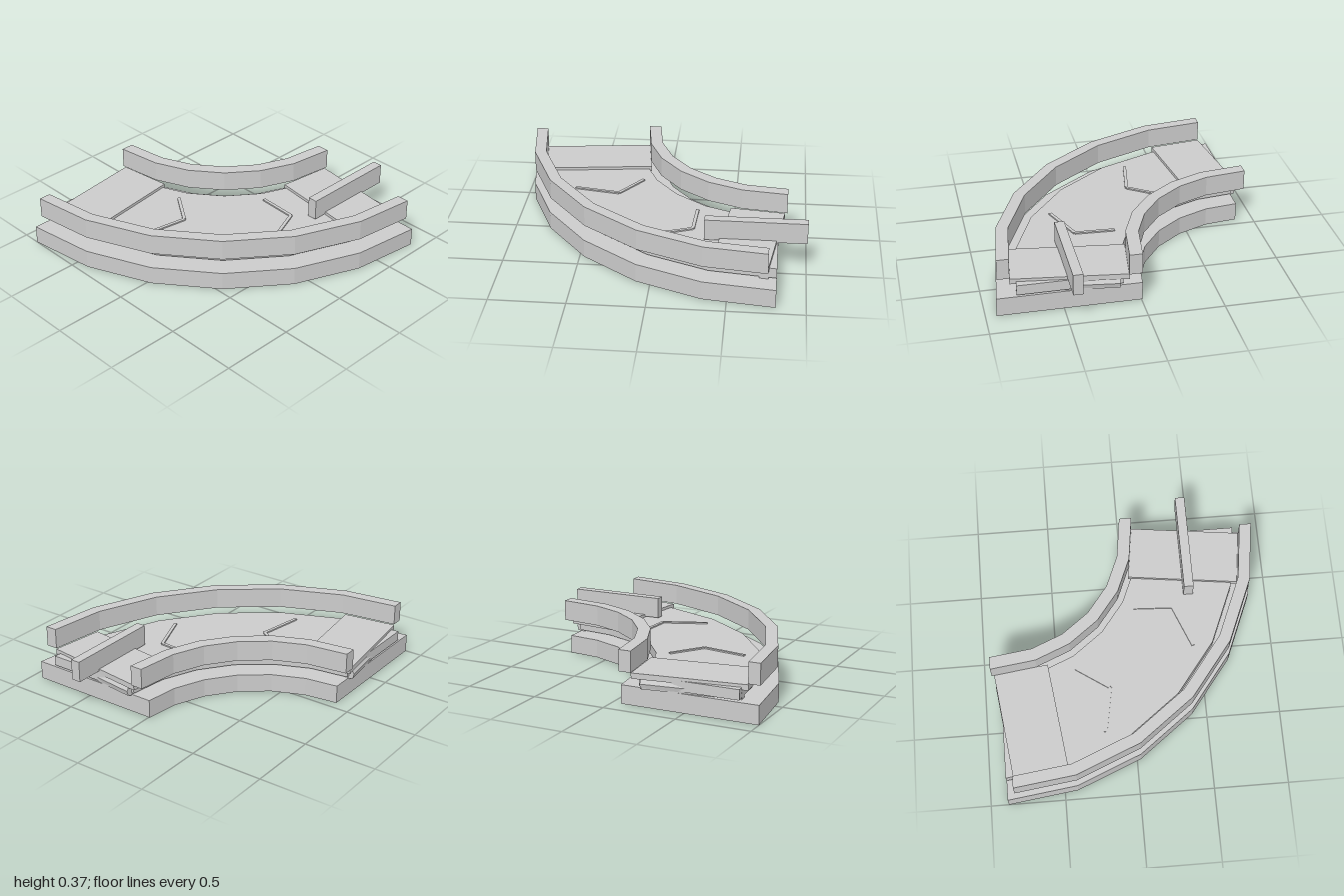
import * as THREE from 'three';

const CX = 0.81, CZ = -0.88; // centre of the 90 degree bend
const STEPS = 6;
const material = new THREE.MeshStandardMaterial({ color: 0xcccccc, flatShading: true });

function addMesh(parent, name, geometry) {
  const mesh = new THREE.Mesh(geometry, material);
  mesh.name = name;
  parent.add(mesh);
  return mesh;
}

// Point [x, z] at a radius and angle round the bend
function polar(r, degrees) {
  const a = THREE.MathUtils.degToRad(degrees);
  return [CX - r * Math.cos(a), CZ + r * Math.sin(a)];
}

// Faceted arc; positive overhang lengthens both ends, negative trims them
function arcPoints(r, overhang) {
  const points = [];
  for (let i = 0; i <= STEPS; i++) points.push(polar(r, (90 * i) / STEPS));
  const slide = (end, next, axis) => {
    const t = overhang / Math.abs(next[axis] - end[axis]);
    return end.map((v, k) => v + (v - next[k]) * t);
  };
  const first = slide(points[0], points[1], 1);
  const last = slide(points[STEPS], points[STEPS - 1], 0);
  points[0] = first;
  points[STEPS] = last;
  return points;
}

// Extrude an [x, z] outline from y0 up to y1
function slab(outline, y0, y1) {
  const shape = new THREE.Shape(outline.map(([x, z]) => new THREE.Vector2(x, -z)));
  const geometry = new THREE.ExtrudeGeometry(shape, { depth: y1 - y0, bevelEnabled: false });
  return geometry.rotateX(-Math.PI / 2).translate(0, y0, 0);
}

function curvedSlab(rIn, rOut, y0, y1, overhang = 0) {
  return slab([...arcPoints(rOut, overhang), ...arcPoints(rIn, overhang).reverse()], y0, y1);
}

// Strip of the given width between two [x, z] points
function strip(a, b, width, y0, y1) {
  const dx = b[0] - a[0], dz = b[1] - a[1];
  const k = width / 2 / Math.hypot(dx, dz);
  const nx = -dz * k, nz = dx * k;
  return slab([
    [a[0] + nx, a[1] + nz], [b[0] + nx, b[1] + nz],
    [b[0] - nx, b[1] - nz], [a[0] - nx, a[1] - nz],
  ], y0, y1);
}

export function createModel() {
  const model = new THREE.Group();
  model.name = 'curvedConveyor';

  // Base, belt and the two guard rails
  addMesh(model, 'base', curvedSlab(0.873, 1.81, 0, 0.125));
  addMesh(model, 'belt', curvedSlab(1.0, 1.68, 0.137, 0.205));
  addMesh(model, 'outerRail', curvedSlab(1.72, 1.8, 0.23, 0.37, -0.055));
  addMesh(model, 'innerRail', curvedSlab(0.88, 0.965, 0.23, 0.37, 0.055));

  // Matching fittings at both ends, mirrored across the bend's diagonal
  const mirror = ([x, z]) => [CX - (z - CZ), CZ - (x - CX)];
  for (const [side, place] of [['right', (p) => p], ['back', mirror]]) {
    const end = new THREE.Group();
    end.name = side + 'End';
    model.add(end);

    const corners = [[0.485, 0.04], [0.39, 0.785], [0.755, 0.835], [0.85, 0.085]];
    addMesh(end, 'coverPlate', slab(corners.map(place), 0.188, 0.225));

    const a = place([0.81, 0.14]), b = place([0.727, 0.79]);
    addMesh(end, 'rollerSupport', strip(a, b, 0.06, 0.125, 0.142));

    // Faceted roller with a corner facing outwards
    const from = new THREE.Vector3(a[0], 0.155, a[1]);
    const to = new THREE.Vector3(b[0], 0.155, b[1]);
    const geometry = new THREE.CylinderGeometry(0.038, 0.038, from.distanceTo(to), 8);
    const roller = addMesh(end, 'roller', geometry);
    roller.position.copy(from).lerp(to, 0.5);
    roller.quaternion.setFromUnitVectors(new THREE.Vector3(0, 1, 0), to.sub(from).normalize());
  }

  // Raised direction chevrons on the belt
  for (const turn of [0, 31.5]) {
    const chevron = new THREE.Group();
    chevron.name = 'chevron';
    model.add(chevron);
    const tip = polar(1.33, 33.5 + turn);
    for (const [r, angle] of [[1.574, 25.6], [1.087, 28.2]]) {
      addMesh(chevron, 'chevronArm', strip(polar(r, angle + turn), tip, 0.022, 0.203, 0.214));
    }
  }

  // Cross bar over the right end
  const bar = addMesh(model, 'crossBar', new THREE.BoxGeometry(0.67, 0.143, 0.065));
  bar.position.set(0.665, 0.283, 0.442);

  return model;
}
